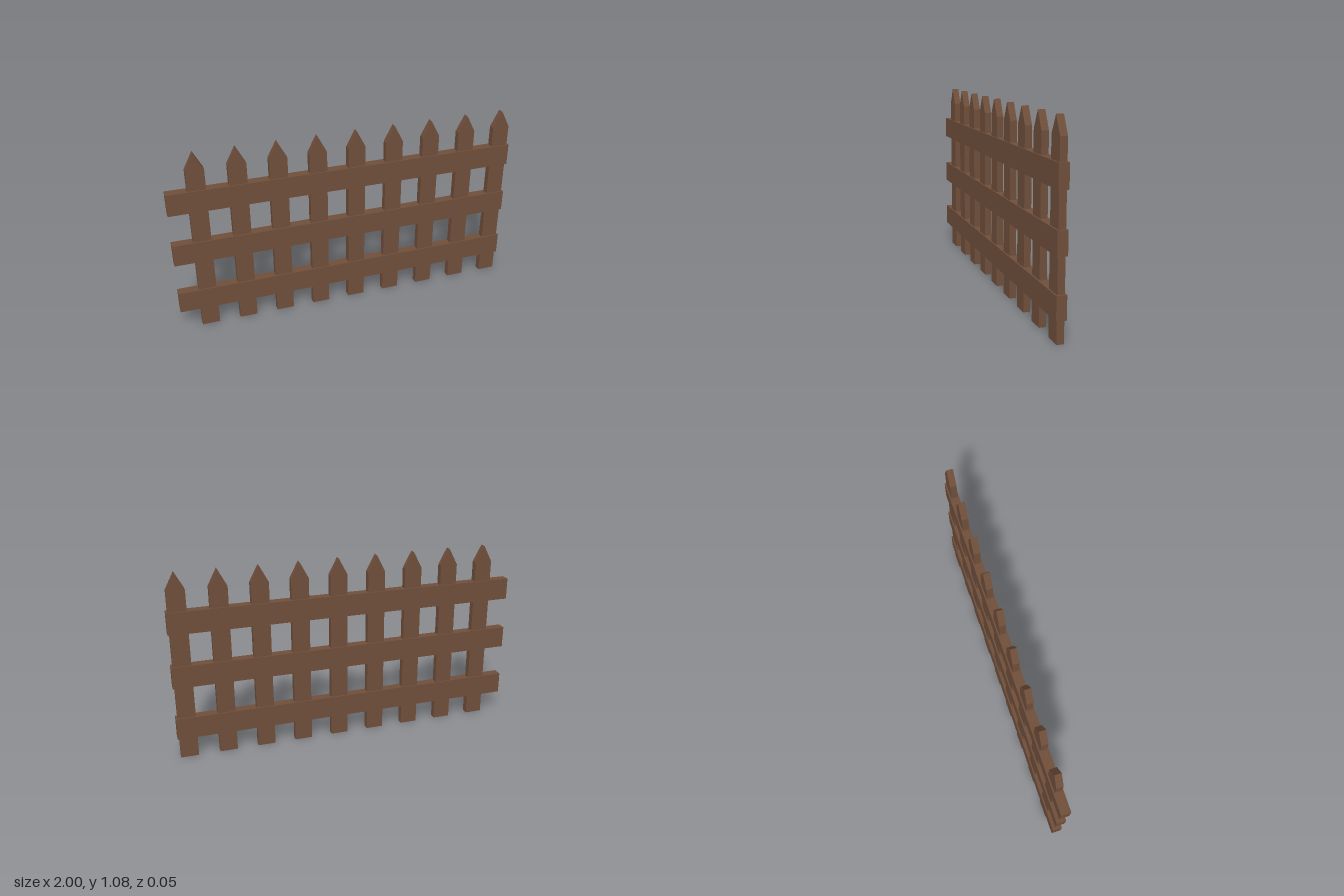
import * as THREE from 'three';

export function createModel() {
  const fence = new THREE.Group();
  fence.name = 'picketFence';
  const wood = new THREE.MeshStandardMaterial({ color: 0x6f4e3a });
  wood.name = 'brown wood';

  // Pointed picket profile, extruded through the board thickness
  const half = 0.05, depth = 0.038;
  const profile = new THREE.Shape([
    [-half, 0], [half, 0], [half, 0.98], [0, 1.075], [-half, 0.98],
  ].map(([x, y]) => new THREE.Vector2(x, y)));
  const picketGeometry = new THREE.ExtrudeGeometry(profile, { depth, bevelEnabled: false });
  picketGeometry.translate(0, 0, -depth / 2);

  // Row of pickets, set slightly towards the left end
  const count = 9, first = -0.835, last = 0.94;
  for (let i = 0; i < count; i++) {
    const picket = new THREE.Mesh(picketGeometry, wood);
    picket.name = `picket${i + 1}`;
    picket.position.x = first + (last - first) * i / (count - 1);
    fence.add(picket);
  }

  // Three horizontal rails, thicker than the pickets
  const railGeometry = new THREE.BoxGeometry(2, 0.125, 0.054);
  ['lowerRail', 'middleRail', 'upperRail'].forEach((name, i) => {
    const rail = new THREE.Mesh(railGeometry, wood);
    rail.name = name;
    rail.position.y = 0.182 + i * 0.31;
    fence.add(rail);
  });

  return fence;
}
